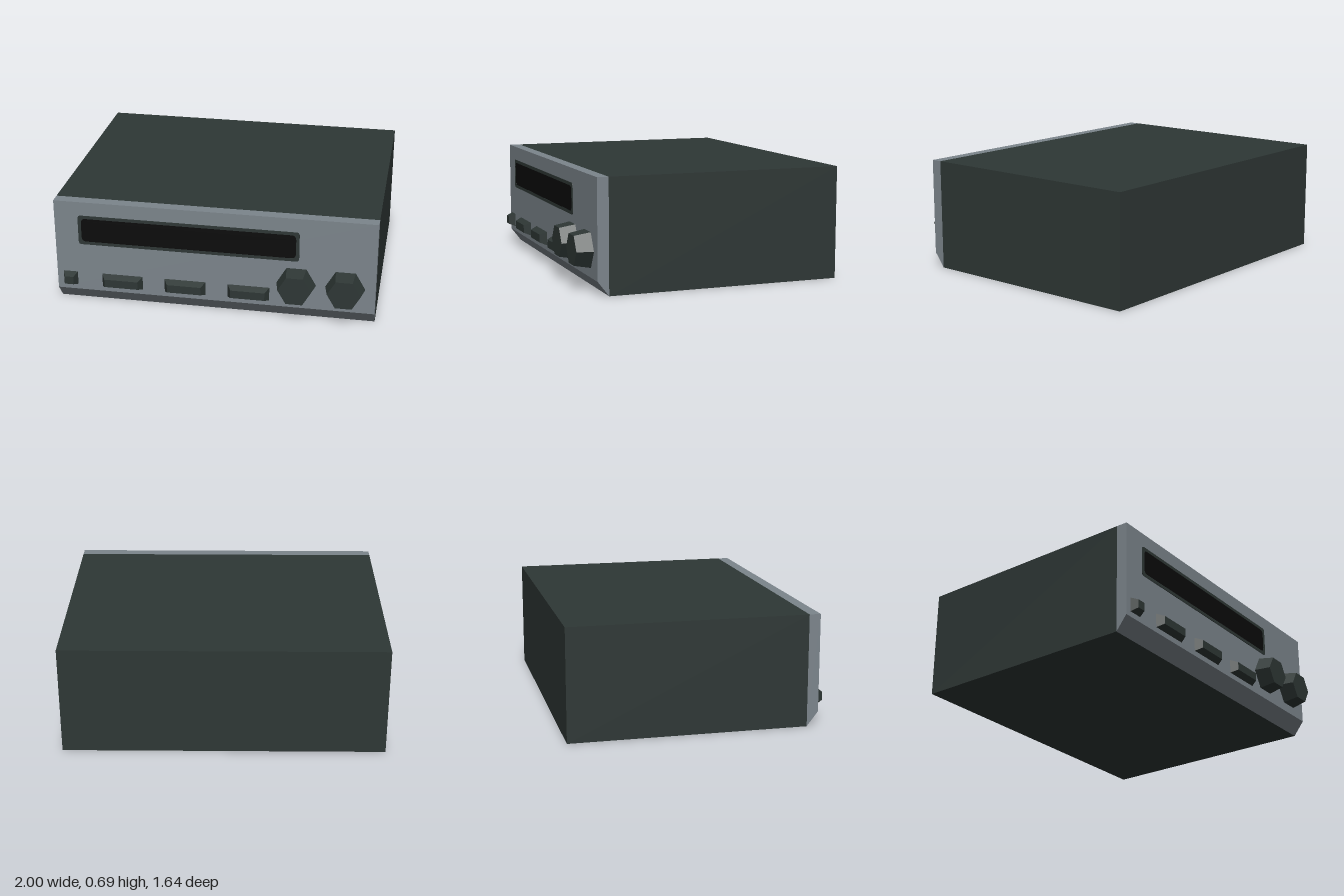
import * as THREE from 'three';

const darkCase = new THREE.MeshStandardMaterial({ color: 0x2e3735 });
darkCase.name = 'dark case';
const greyPanel = new THREE.MeshStandardMaterial({ color: 0x7c858c });
greyPanel.name = 'grey panel';
const blackGlass = new THREE.MeshStandardMaterial({ color: 0x0b0b0b });
blackGlass.name = 'black glass';

const FRONT = 0.72; // z of the panel face
const HEIGHT = 0.695;

function add(group, name, geometry, material, x = 0, y = 0, z = 0) {
  const mesh = new THREE.Mesh(geometry, material);
  mesh.name = name;
  mesh.position.set(x, y, z);
  group.add(mesh);
}

// Faceted normals for tapered parts
function faceted(geometry) {
  const g = geometry.toNonIndexed();
  g.computeVertexNormals();
  return g;
}

// Box whose front face is inset on every side
function taperedButton(w, h, d, insetX, insetY) {
  const g = new THREE.BoxGeometry(w, h, d);
  const p = g.attributes.position;
  for (let i = 0; i < p.count; i++) {
    if (p.getZ(i) < 0) continue;
    p.setX(i, p.getX(i) - Math.sign(p.getX(i)) * insetX);
    p.setY(i, p.getY(i) - Math.sign(p.getY(i)) * insetY);
  }
  return faceted(g);
}

function roundedRect(path, x0, y0, x1, y1, r) {
  path.moveTo(x0 + r, y0);
  path.lineTo(x1 - r, y0);
  path.quadraticCurveTo(x1, y0, x1, y0 + r);
  path.lineTo(x1, y1 - r);
  path.quadraticCurveTo(x1, y1, x1 - r, y1);
  path.lineTo(x0 + r, y1);
  path.quadraticCurveTo(x0, y1, x0, y1 - r);
  path.lineTo(x0, y0 + r);
  path.quadraticCurveTo(x0, y0, x0 + r, y0);
  return path;
}

export function createModel() {
  const model = new THREE.Group();
  model.name = 'stereoUnit';

  // Case
  add(model, 'case', new THREE.BoxGeometry(2, HEIGHT, 1.47), darkCase, 0, HEIGHT / 2, -0.085);

  // Front panel: side profile with a sloping lower edge, swept across the width
  const profile = new THREE.Shape();
  profile.moveTo(0.65, 0);
  profile.lineTo(FRONT, 0.09);
  profile.lineTo(FRONT, HEIGHT);
  profile.lineTo(0.65, HEIGHT);
  profile.closePath();
  const panel = new THREE.ExtrudeGeometry(profile, { depth: 2, bevelEnabled: false });
  panel.rotateY(-Math.PI / 2);
  add(model, 'frontPanel', panel, greyPanel, 1);

  // Display window and its rim
  const rim = roundedRect(new THREE.Shape(), -0.85, 0.41, 0.53, 0.605, 0.02);
  rim.holes.push(roundedRect(new THREE.Path(), -0.83, 0.43, 0.51, 0.585, 0.03));
  const thin = { depth: 0.004, bevelEnabled: false, curveSegments: 4 };
  add(model, 'displayRim', new THREE.ExtrudeGeometry(rim, thin), darkCase, 0, 0, FRONT);
  const glass = roundedRect(new THREE.Shape(), -0.83, 0.43, 0.51, 0.585, 0.03);
  add(model, 'displayGlass', new THREE.ExtrudeGeometry(glass, { ...thin, depth: 0.003 }), blackGlass, 0, 0, FRONT);

  // Power button and three wide buttons
  const depth = 0.045;
  add(model, 'powerButton', taperedButton(0.092, 0.088, depth, 0.018, 0.018), darkCase,
    -0.915, 0.168, FRONT + depth / 2);
  [-0.58, -0.18, 0.22].forEach((x, i) => {
    add(model, `wideButton${i + 1}`, taperedButton(0.26, 0.088, depth, 0.024, 0.018), darkCase,
      x, 0.168, FRONT + depth / 2);
  });

  // Hexagonal knobs
  [0.515, 0.815].forEach((x, i) => {
    const knob = new THREE.CylinderGeometry(0.102, 0.122, 0.1, 6, 1, false, Math.PI / 2);
    knob.rotateX(Math.PI / 2);
    add(model, `knob${i + 1}`, faceted(knob), darkCase, x, 0.254, FRONT + 0.05);
  });

  return model;
}
